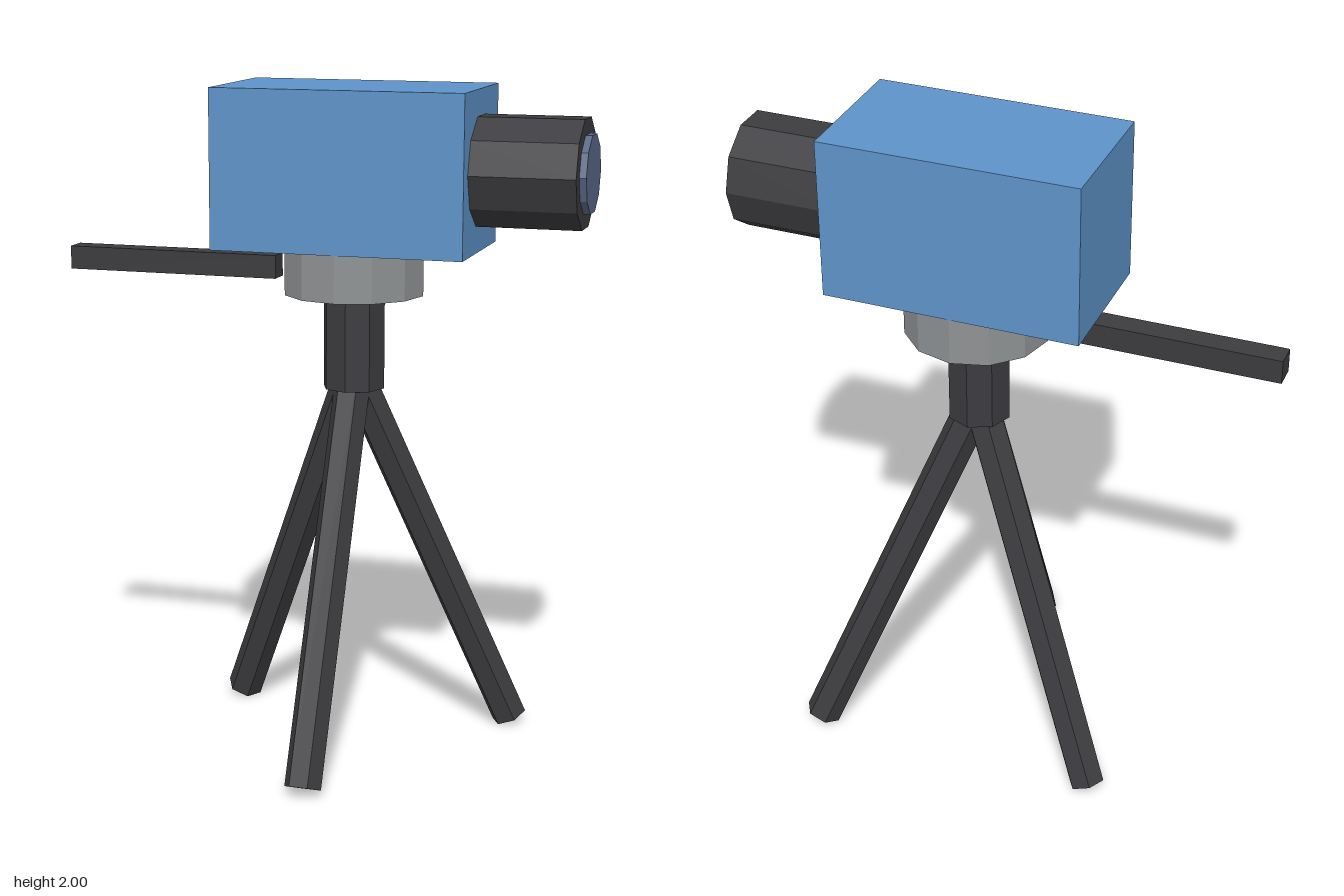
import * as THREE from 'three';

const paint = (name, color) => {
  const m = new THREE.MeshStandardMaterial({ color, flatShading: true });
  m.name = name;
  return m;
};

export function createModel() {
  const blue = paint('bodyBlue', 0x5f93c9);
  const dark = paint('darkGrey', 0x3c3b3f);
  const grey = paint('midGrey', 0x8f9294);
  const glass = paint('lensGlass', 0x5a6988);

  const model = new THREE.Group();
  model.name = 'tripodCamera';
  const CX = 0.095, CZ = -0.13; // tripod axis

  const add = (name, geometry, material, x, y, z, parent = model) => {
    const mesh = new THREE.Mesh(geometry, material);
    mesh.name = name;
    mesh.position.set(x, y, z);
    parent.add(mesh);
    return mesh;
  };

  // Camera body
  add('cameraBody', new THREE.BoxGeometry(0.755, 0.47, 0.424), blue, CX, 1.765, CZ);

  // Lens barrel and glass, pointing along +x
  const alongX = (r, length, sides) =>
    new THREE.CylinderGeometry(r, r, length, sides).rotateZ(-Math.PI / 2);
  add('lensBarrel', alongX(0.165, 0.33, 10), dark, 0.615, 1.766, CZ);
  add('lensGlass', alongX(0.117, 0.06, 10), glass, 0.77, 1.766, CZ);

  // Pan head, centre column and pan handle
  add('panHead', new THREE.CylinderGeometry(0.211, 0.211, 0.14, 12), grey, CX, 1.46, CZ);
  add('centreColumn', new THREE.CylinderGeometry(0.094, 0.094, 0.285, 8), dark, CX, 1.2475, CZ);
  add('panHandle', new THREE.BoxGeometry(0.66, 0.07, 0.07), dark, -0.47, 1.46, CZ);

  // Three splayed six-sided legs
  const top = 1.155, foot = 0.02, spread = 0.51;
  const legLength = Math.hypot(top - foot, spread);
  const legGeometry = new THREE.CylinderGeometry(0.0555, 0.0555, legLength, 6, 1, false, Math.PI / 6);
  legGeometry.rotateX(-Math.atan2(spread, top - foot));
  legGeometry.translate(0, (top + foot) / 2, spread / 2);
  ['frontLeg', 'backLeftLeg', 'backRightLeg'].forEach((name, i) => {
    add(name, legGeometry, dark, CX, 0, CZ).rotation.y = (i * 2 * Math.PI) / 3;
  });

  return model;
}
